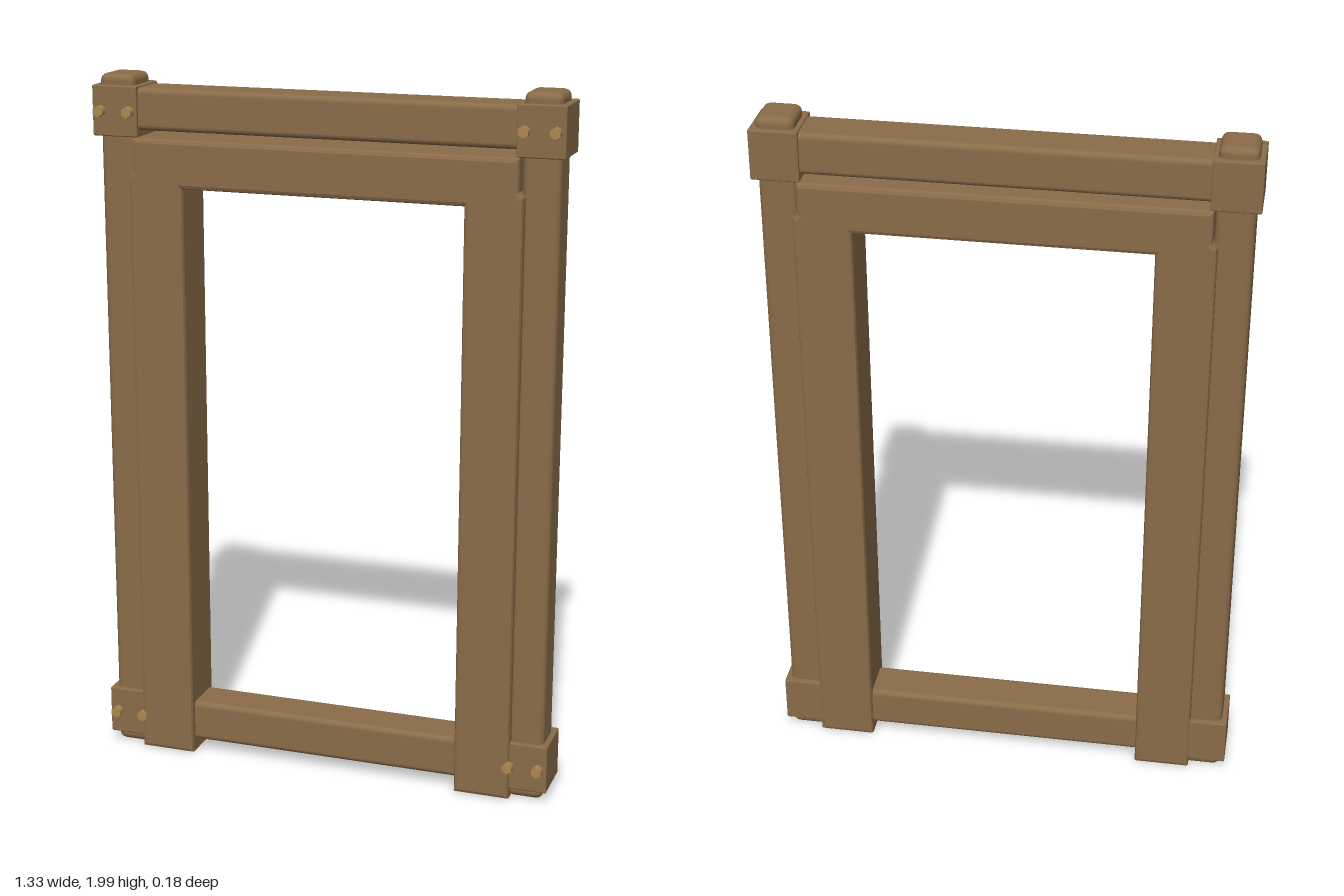
import * as THREE from 'three';
import { RoundedBoxGeometry } from 'three/addons/geometries/RoundedBoxGeometry.js';

export function createModel() {
  const model = new THREE.Group();
  model.name = 'doorFrame';

  const wood = new THREE.MeshStandardMaterial({ color: 0x8a6c49 });
  wood.name = 'brown wood';
  const pegWood = new THREE.MeshStandardMaterial({ color: 0xad8850 });
  pegWood.name = 'light peg';

  const add = (name, geometry, material = wood) => {
    const mesh = new THREE.Mesh(geometry, material);
    mesh.name = name;
    model.add(mesh);
    return mesh;
  };

  // Softened beam given by its limits on each axis
  const beam = (name, [x0, x1], [y0, y1], [z0, z1], radius) => {
    const mesh = add(name, new RoundedBoxGeometry(x1 - x0, y1 - y0, z1 - z0, 2, radius));
    mesh.position.set((x0 + x1) / 2, (y0 + y1) / 2, (z0 + z1) / 2);
    return mesh;
  };

  // Inner casing: two jambs and a header, with a small step near the top corners
  const half = [[0.4, 1.695], [0.4, 0.01], [0.56, 0.01], [0.56, 1.725], [0.547, 1.74], [0.547, 1.83]];
  const outline = [...half, ...half.map(([x, y]) => [-x, y]).reverse()];
  const casingShape = new THREE.Shape(outline.map(([x, y]) => new THREE.Vector2(x, y)));
  const bevel = 0.012;
  const casing = add('innerCasing', new THREE.ExtrudeGeometry(casingShape, {
    depth: 0.168 - 2 * bevel,
    bevelThickness: bevel,
    bevelSize: bevel,
    bevelOffset: -bevel,
    bevelSegments: 2,
  }));
  casing.position.z = -0.087 + bevel;

  // Cross rails
  beam('topRail', [-0.58, 0.58], [1.848, 1.965], [-0.072, 0.057], 0.016);
  beam('bottomRail', [-0.58, 0.58], [0.045, 0.165], [-0.072, 0.057], 0.016);

  for (const side of [-1, 1]) {
    const label = side > 0 ? 'left' : 'right';
    const span = (a, b) => (side > 0 ? [a, b] : [-b, -a]);

    // Outer post
    beam(label + 'Post', span(0.548, 0.652), [0.01, 2], [-0.066, 0.053], 0.02);

    for (const [level, y] of [['Lower', 0.11], ['Upper', 1.9]]) {
      // Corner block
      beam(label + level + 'Block', span(0.535, 0.667), [y - 0.07, y + 0.07], [-0.081, 0.067], 0.004);

      // Pegs standing out of the front of the block
      for (const x of [0.557, 0.642]) {
        const geometry = new THREE.CylinderGeometry(0.016, 0.016, 0.04, 6);
        geometry.rotateX(Math.PI / 2);
        const peg = add(label + level + 'Peg', geometry, pegWood);
        peg.position.set(side * x, y, 0.07);
      }
    }
  }

  return model;
}
